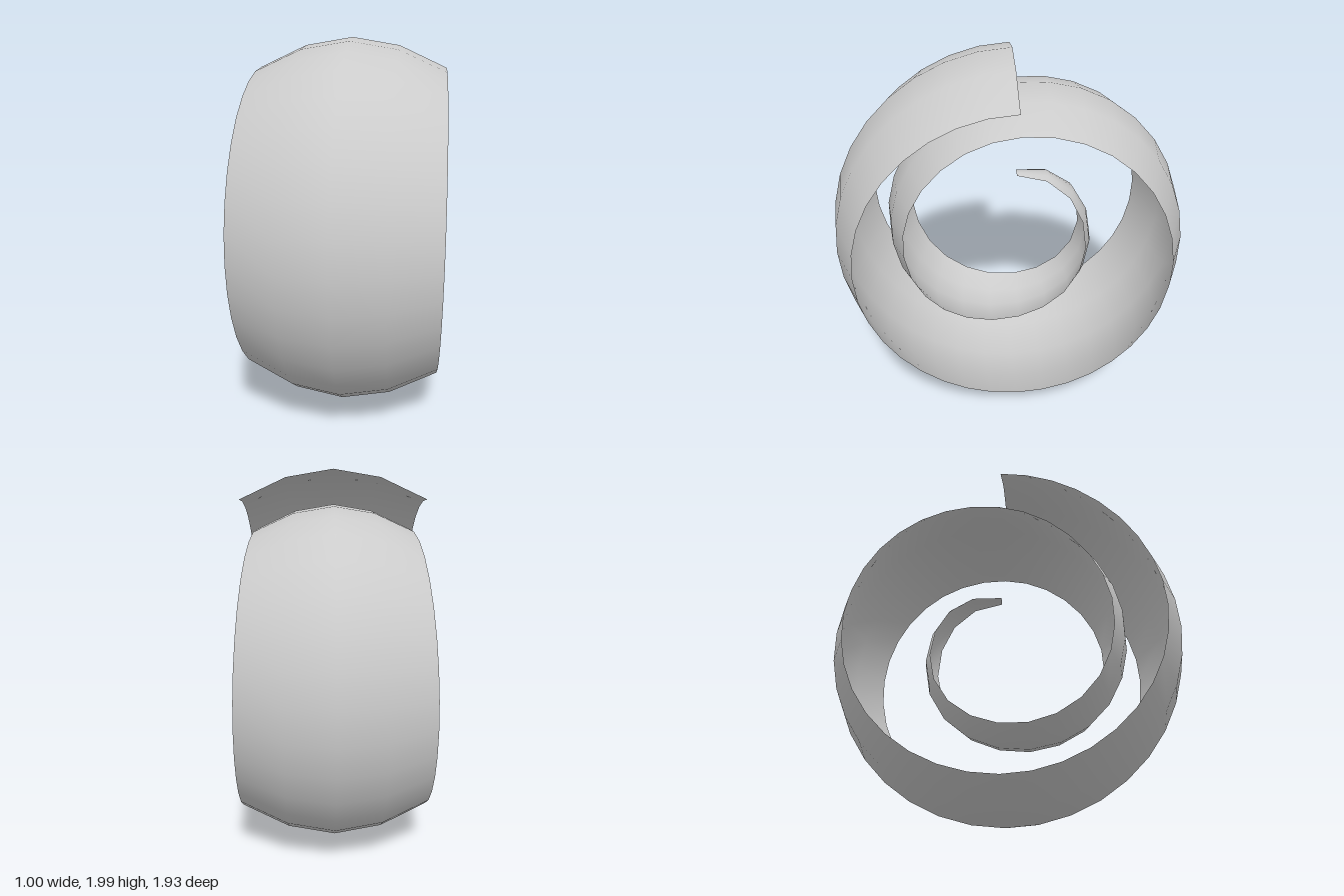
import * as THREE from 'three';

// Spiral control values every eighth of a turn, from the inner tip outwards
const RADII = [0.328, 0.398, 0.46, 0.535, 0.587, 0.638, 0.67, 0.722, 0.815,
  0.905, 0.965, 0.997, 0.995, 0.975, 0.969, 0.968, 1.0];
const SCALES = [0.08, 0.18, 0.28, 0.365, 0.45, 0.55, 0.64, 0.72, 0.8,
  0.87, 0.93, 0.965, 0.985, 0.995, 1, 1, 1];

// Arched cross-section: [x, drop towards the spiral's centre]
const SECTION = [[-0.5, 0.157], [-0.25, 0.042], [0, 0], [0.25, 0.042], [0.5, 0.157]];

class Spiral extends THREE.Curve {
  constructor() {
    super();
    const last = RADII.length - 1;
    // control points hold angle, radius and section scale
    this.profile = new THREE.CatmullRomCurve3(RADII.map((r, i) => {
      const degrees = i === 0 ? 7 : i === last ? 721 : i * 45;
      return new THREE.Vector3(THREE.MathUtils.degToRad(degrees), r, SCALES[i]);
    }), false, 'catmullrom', 0.5);
  }

  getPoint(t, target = new THREE.Vector3()) {
    const { x: angle, y: radius } = this.profile.getPoint(t);
    return target.set(0, 1 + radius * Math.cos(angle), -radius * Math.sin(angle));
  }
}

// Sweep the arched section along the spiral at even spacing
function ribbonGeometry(steps) {
  const spiral = new Spiral();
  const positions = [], index = [], count = SECTION.length;
  for (let i = 0; i <= steps; i++) {
    const t = spiral.getUtoTmapping(i / steps);
    const centre = spiral.getPoint(t);
    const tangent = spiral.getTangent(t);
    const scale = spiral.profile.getPoint(t).z;
    for (const [x, drop] of SECTION) {
      positions.push(x * scale,
        centre.y + tangent.z * drop * scale,
        centre.z - tangent.y * drop * scale);
    }
    if (i === steps) break;
    for (let j = 0; j < count - 1; j++) {
      const a = i * count + j, b = a + count;
      index.push(a, a + 1, b, a + 1, b + 1, b);
    }
  }
  const geometry = new THREE.BufferGeometry();
  geometry.setAttribute('position', new THREE.Float32BufferAttribute(positions, 3));
  geometry.setIndex(index);
  geometry.computeVertexNormals();
  return geometry;
}

export function createModel() {
  const group = new THREE.Group();
  group.name = 'spiral';
  const ribbon = new THREE.Mesh(ribbonGeometry(56),
    new THREE.MeshStandardMaterial({ color: 0xcccccc, side: THREE.DoubleSide }));
  ribbon.name = 'curledRibbon';
  group.add(ribbon);
  return group;
}
